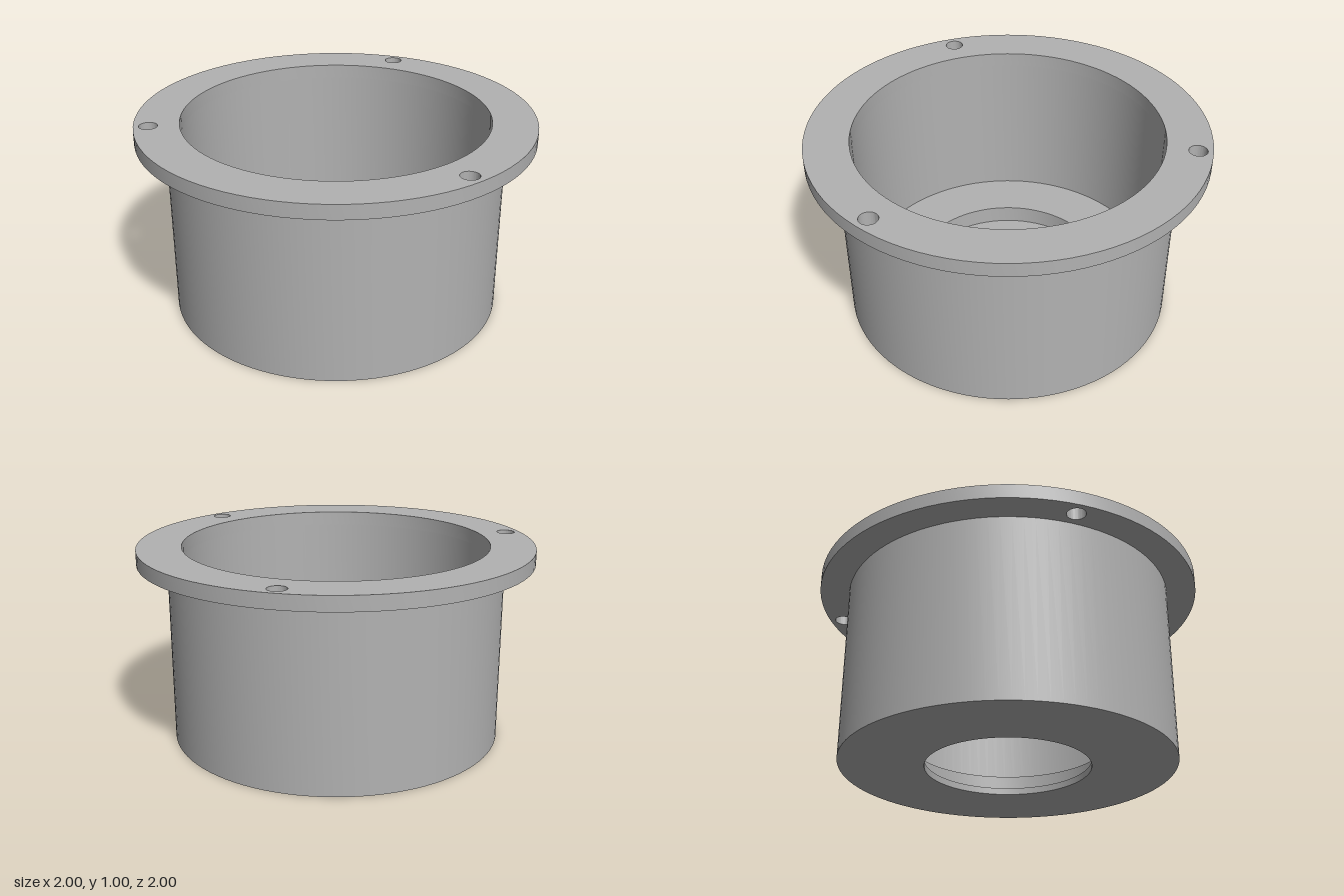
import * as THREE from 'three';
import { toCreasedNormals } from 'three/addons/utils/BufferGeometryUtils.js';

const SEGMENTS = 96;
const FLANGE_BOTTOM = 0.927;
const BORE = 0.776;

export function createModel() {
  const group = new THREE.Group();
  group.name = 'flangedHousing';
  const metal = new THREE.MeshStandardMaterial({ color: 0xb2b2b2 });
  metal.name = 'grey metal';

  const add = (name, geometry) => {
    const mesh = new THREE.Mesh(toCreasedNormals(geometry, Math.PI / 6), metal);
    mesh.name = name;
    group.add(mesh);
  };

  // Cup: down the bore, over the stepped seat, through the hole, up the outside
  const profile = [
    [BORE, FLANGE_BOTTOM], [BORE, 0.13],
    [0.507, 0.13], [0.507, 0.035],
    [0.42, 0.035], [0.42, 0],
    [0.85, 0], [0.85, FLANGE_BOTTOM],
  ].map(([r, y]) => new THREE.Vector2(r, y));
  add('cupBody', new THREE.LatheGeometry(profile, SEGMENTS));

  // Flange ring with the bore and three bolt holes
  const circle = (Path, x, y, r) => new Path().absarc(x, y, r, 0, Math.PI * 2, false);
  const ring = circle(THREE.Shape, 0, 0, 1);
  ring.holes.push(circle(THREE.Path, 0, 0, BORE));
  for (let i = 0; i < 3; i++) {
    const a = (i * Math.PI * 2) / 3;
    ring.holes.push(circle(THREE.Path, 0.927 * Math.cos(a), 0.927 * Math.sin(a), 0.046));
  }
  const flange = new THREE.ExtrudeGeometry(ring, {
    depth: 1 - FLANGE_BOTTOM, bevelEnabled: false, curveSegments: SEGMENTS / 2,
  });
  flange.rotateX(-Math.PI / 2).translate(0, FLANGE_BOTTOM, 0);
  add('flange', flange);

  return group;
}
